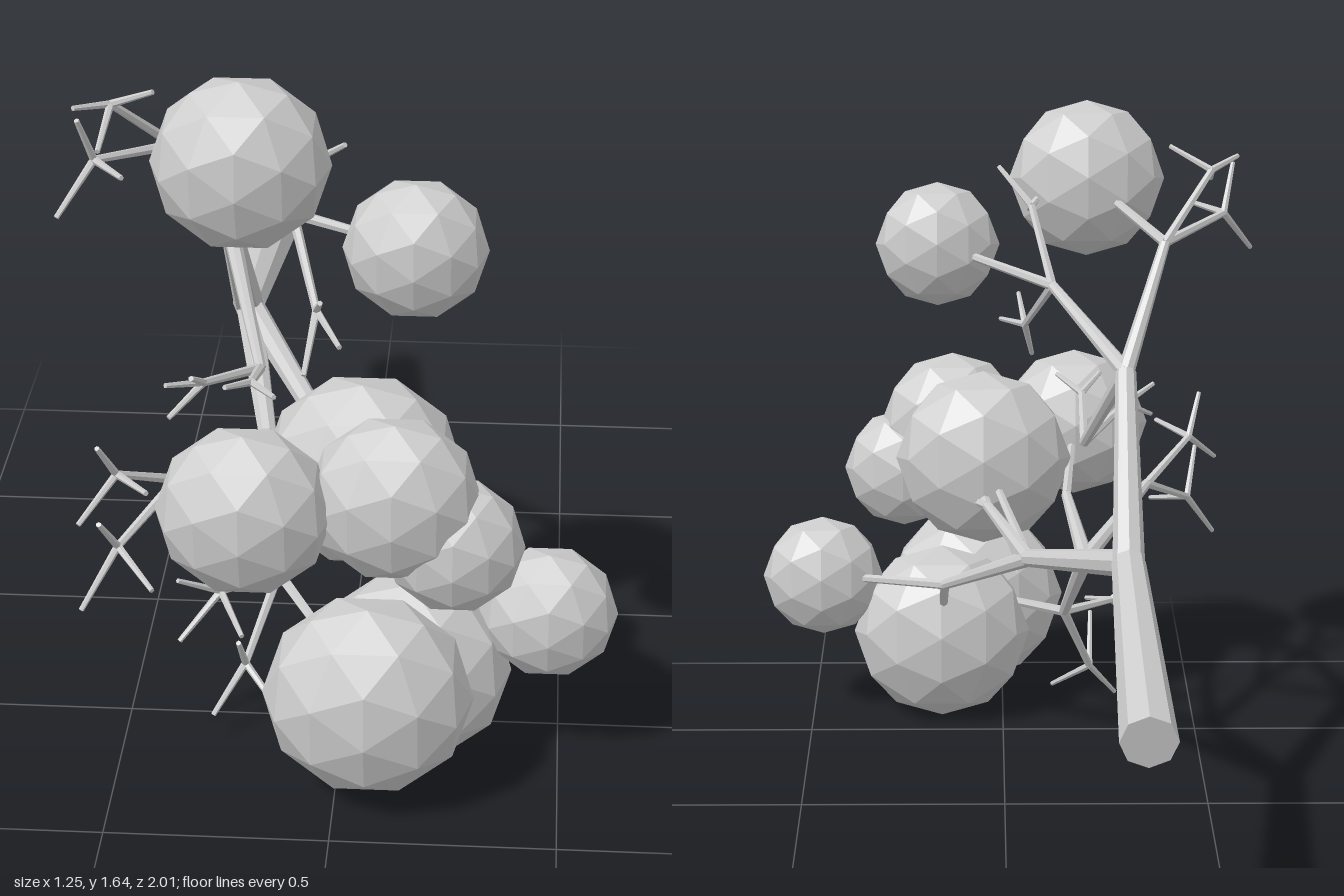
import * as THREE from 'three';

const V = (p) => new THREE.Vector3(...p);

export function createModel() {
  const model = new THREE.Group();
  const grey = new THREE.MeshStandardMaterial({ color: 0xcccccc, flatShading: true });
  grey.name = 'plain grey';

  // Tapered eight-sided limb from a to b
  function limb(name, a, b, r0, r1, sides = 8) {
    const A = V(a), B = V(b), d = B.clone().sub(A);
    const mesh = new THREE.Mesh(new THREE.CylinderGeometry(r1, r0, d.length(), sides), grey);
    mesh.position.copy(A).add(B).multiplyScalar(0.5);
    mesh.quaternion.setFromUnitVectors(new THREE.Vector3(0, 1, 0), d.normalize());
    mesh.name = name;
    model.add(mesh);
  }

  // Bare shoot: stem to a node, then short tips spreading from it
  function bareShoot(from, node, tips) {
    limb('shoot', from, node, 0.012, 0.009, 6);
    for (const t of tips) limb('twig', node, t, 0.009, 0.006, 6);
  }

  // Main forks
  const base = [-0.295, 0.565, -1], fork = [-0.285, 0.71, -0.25];
  const upper = [-0.29, 1.075, 0.1], right = [-0.06, 0.58, 0.18], left = [-0.2, 0.575, 0.19];
  limb('trunk', base, fork, 0.064, 0.04);
  limb('upperBough', fork, upper, 0.038, 0.025);
  limb('rightBough', fork, right, 0.034, 0.022);
  limb('leftBough', fork, left, 0.034, 0.022);

  // Secondary branches
  const upLeft = [-0.39, 1.35, 0.28], upRight = [-0.12, 1.225, 0.36], upLow = [-0.2, 0.83, 0.34];
  const rightHigh = [0.04, 0.64, 0.42], rightLow = [0.15, 0.43, 0.42];
  const leftOut = [-0.37, 0.655, 0.56], leftLow = [-0.155, 0.35, 0.44], leftMid = [-0.16, 0.66, 0.45];
  for (const [a, b] of [
    [upper, upLeft], [upper, upRight], [upper, upLow], [right, rightHigh], [right, rightLow],
    [left, leftOut], [left, leftLow], [left, leftMid],
  ]) limb('branch', a, b, 0.021, 0.013);

  // Leaf clumps: centre, radius, half depth, supporting branch
  const clumps = [
    [[-0.21, 1.445, 0.6], 0.195, 0.152, upLeft],
    [[0.165, 1.27, 0.63], 0.157, 0.122, upRight],
    [[-0.19, 0.74, 0.845], 0.193, 0.15, leftMid],
    [[0.13, 0.75, 0.79], 0.19, 0.14, rightHigh],
    [[0.26, 0.635, 0.78], 0.155, 0.125, rightHigh],
    [[0.05, 0.715, 0.6], 0.225, 0.168, right],
    [[0.075, 0.27, 0.82], 0.235, 0.18, leftLow],
    [[0.16, 0.23, 0.632], 0.23, 0.168, rightLow],
    [[0.47, 0.385, 0.63], 0.156, 0.122, rightLow],
  ];
  for (const [c, r, depth, from] of clumps) {
    const geo = new THREE.IcosahedronGeometry(1, 1).rotateX(0.15).scale(r, r, depth);
    const clump = new THREE.Mesh(geo, grey);
    clump.position.set(...c);
    clump.name = 'leafClump';
    model.add(clump);
    limb('clumpStem', from, c, 0.013, 0.009, 6);
  }

  // Bare shoots, top left
  bareShoot(upLeft, [-0.51, 1.5, 0.42],
    [[-0.58, 1.52, 0.5], [-0.41, 1.55, 0.47], [-0.52, 1.45, 0.57]]);
  bareShoot(upLeft, [-0.545, 1.385, 0.46],
    [[-0.62, 1.28, 0.54], [-0.47, 1.39, 0.57], [-0.57, 1.5, 0.52]]);
  // Behind the top clump and hanging beside it
  bareShoot(upRight, [-0.07, 1.4, 0.48],
    [[0.01, 1.48, 0.57], [-0.14, 1.46, 0.57], [-0.06, 1.36, 0.59]]);
  bareShoot(upRight, [-0.055, 1.08, 0.55],
    [[-0.075, 0.975, 0.66], [-0.04, 1.14, 0.64], [0.005, 1.06, 0.69]]);
  // Inner left
  bareShoot(upLow, [-0.31, 0.88, 0.52],
    [[-0.385, 0.91, 0.6], [-0.38, 0.83, 0.6], [-0.32, 0.96, 0.66]]);
  bareShoot(upLow, [-0.2, 0.9, 0.55],
    [[-0.25, 0.93, 0.64], [-0.14, 0.92, 0.66]]);
  // Outer left pair
  bareShoot(leftOut, [-0.485, 0.74, 0.7],
    [[-0.515, 0.84, 0.77], [-0.405, 0.755, 0.81], [-0.56, 0.66, 0.79]]);
  bareShoot(leftOut, [-0.485, 0.57, 0.72],
    [[-0.56, 0.45, 0.8], [-0.395, 0.53, 0.84], [-0.51, 0.68, 0.82]]);
  // Lower left pair
  bareShoot(leftLow, [-0.28, 0.35, 0.53],
    [[-0.37, 0.255, 0.6], [-0.37, 0.415, 0.6], [-0.22, 0.31, 0.66]]);
  bareShoot(leftLow, [-0.225, 0.165, 0.54],
    [[-0.295, 0.065, 0.61], [-0.13, 0.08, 0.63], [-0.23, 0.28, 0.64]]);

  return model;
}
